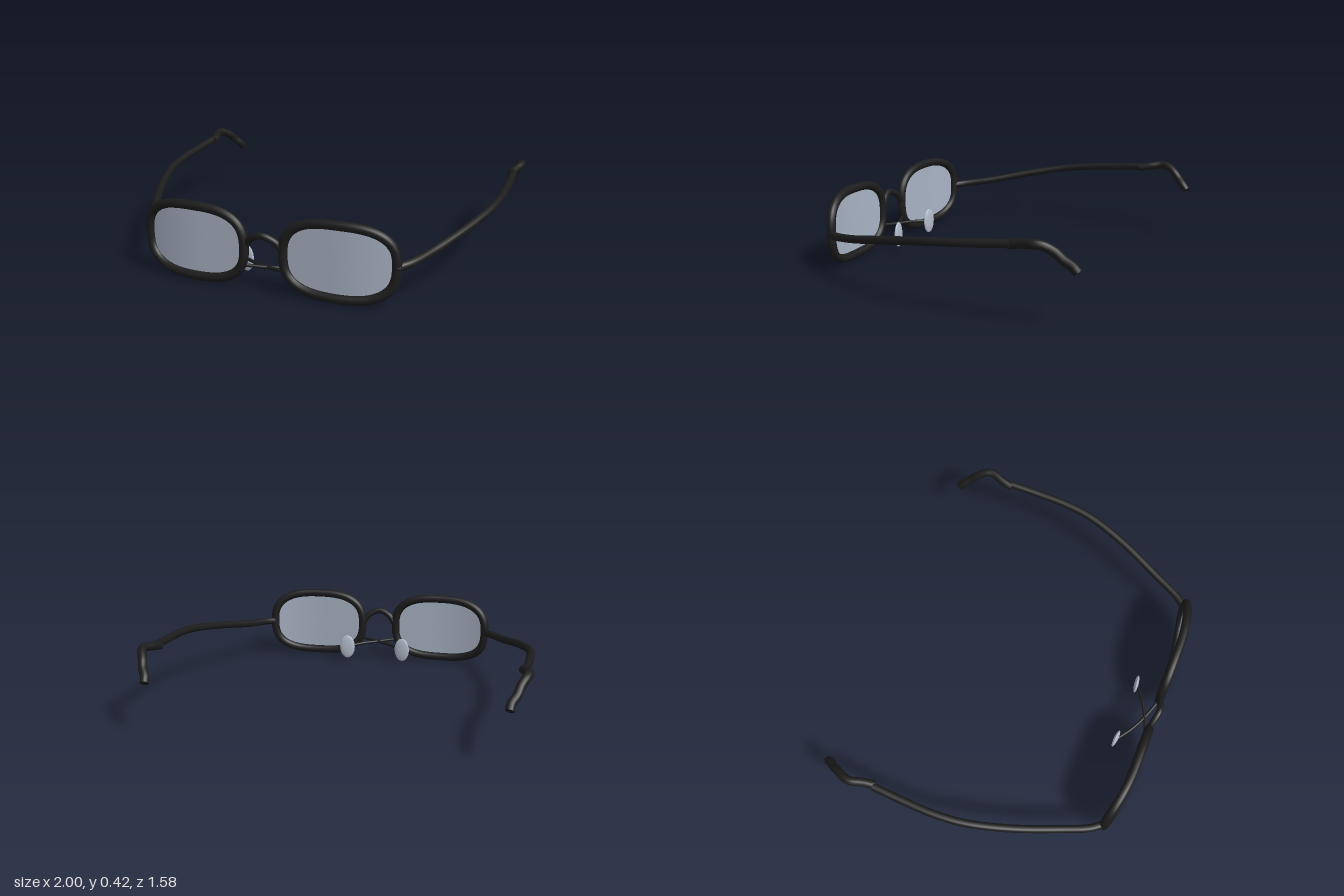
import * as THREE from 'three';
import { mergeGeometries } from 'three/addons/utils/BufferGeometryUtils.js';

const CX = 0.387, CY = 0.22; // lens centre
const RX = 0.281, RY = 0.186; // half size of the rim centreline

// The front is flat near the nose and wraps back towards the hinges
const frontZ = (x) => 0.75 - 0.05 * Math.pow(Math.max(0, Math.abs(x) - 0.35) / 0.32, 2);

// Rounded-oblong outline (superellipse), k scales it from the centre
function outline(angle, side, k = 1) {
  const c = Math.cos(angle), s = Math.sin(angle), e = 2 / 2.75;
  const x = side * (CX + k * RX * Math.sign(c) * Math.pow(Math.abs(c), e));
  const y = CY + k * RY * Math.sign(s) * Math.pow(Math.abs(s), e);
  return new THREE.Vector3(x, y, frontZ(x));
}

// Tube through points, closed with flat discs at both ends
function rod(points, radius, segments = 48) {
  const curve = new THREE.CatmullRomCurve3(points);
  const parts = [new THREE.TubeGeometry(curve, segments, radius, 14)];
  for (const end of [0, 1]) {
    const dir = curve.getTangent(end).multiplyScalar(end ? 1 : -1);
    const cap = new THREE.CircleGeometry(radius, 14);
    cap.applyQuaternion(new THREE.Quaternion().setFromUnitVectors(new THREE.Vector3(0, 0, 1), dir));
    const p = curve.getPoint(end);
    cap.translate(p.x, p.y, p.z);
    parts.push(cap);
  }
  return mergeGeometries(parts);
}

// Curved lens sheet, bent to the same wrap as the rim
function lensGeometry(side) {
  const rings = 6, n = 64;
  const geo = new THREE.RingGeometry(0.001, 1, n, rings);
  const pos = geo.attributes.position;
  for (let i = 0; i < pos.count; i++) {
    const p = outline(((i % (n + 1)) / n) * Math.PI * 2, side, Math.hypot(pos.getX(i), pos.getY(i)));
    pos.setXYZ(i, p.x, p.y, p.z);
  }
  if (side < 0) { // keep the faces turned to the front
    const idx = geo.index;
    for (let i = 0; i < idx.count; i += 3) {
      const a = idx.getX(i);
      idx.setX(i, idx.getX(i + 1));
      idx.setX(i + 1, a);
    }
  }
  geo.computeVertexNormals();
  return geo;
}

export function createModel() {
  const black = new THREE.MeshStandardMaterial({ color: 0x1c1c1c });
  black.name = 'black frame';
  const glass = new THREE.MeshStandardMaterial({ color: 0xa9b3c4, side: THREE.DoubleSide });
  glass.name = 'grey blue glass';
  const silver = new THREE.MeshStandardMaterial({ color: 0xb2bccb });
  silver.name = 'pale silver';

  const model = new THREE.Group();
  model.name = 'spectacles';
  const add = (name, geometry, material) => {
    const mesh = new THREE.Mesh(geometry, material);
    mesh.name = name;
    model.add(mesh);
    return mesh;
  };

  const temple = [
    [0.665, 0.22, 0.702], [0.715, 0.228, 0.64], [0.78, 0.248, 0.5], [0.885, 0.3, 0.25],
    [0.95, 0.34, 0.03], [0.968, 0.36, -0.13], [0.966, 0.375, -0.3], [0.957, 0.392, -0.475],
  ];
  const tip = [
    [0.945, 0.386, -0.468], [0.957, 0.4, -0.53], [0.976, 0.41, -0.595], [0.966, 0.405, -0.64],
    [0.944, 0.378, -0.685], [0.93, 0.343, -0.72], [0.906, 0.31, -0.755], [0.9, 0.283, -0.778],
  ];
  const padArm = [
    [-0.1, 0.13, 0.745], [0, 0.12, 0.708], [0.09, 0.115, 0.663], [0.165, 0.106, 0.61],
  ];

  for (const s of [1, -1]) {
    const label = s > 0 ? 'left' : 'right';
    const mirrored = (list) => list.map(([x, y, z]) => new THREE.Vector3(s * x, y, z));

    // Rim and lens
    const loop = Array.from({ length: 64 }, (_, i) => outline((i / 64) * Math.PI * 2, s));
    const rimCurve = new THREE.CatmullRomCurve3(loop, true);
    add(label + 'Rim', new THREE.TubeGeometry(rimCurve, 128, 0.024, 14, true), black);
    add(label + 'Lens', lensGeometry(s), glass);

    // Side arm with its separate ear tip, and a hinge knuckle
    add(label + 'Temple', rod(mirrored(temple), 0.021, 64), black);
    add(label + 'EarTip', rod(mirrored(tip), 0.023), black);
    const hinge = add(label + 'Hinge', new THREE.SphereGeometry(0.025, 16, 12), black);
    hinge.position.set(s * 0.67, 0.22, 0.7);

    // Nose pad on a thin arm that crosses to the opposite rim
    add(label + 'PadArm', rod(mirrored(padArm), 0.009, 24), black);
    const pad = add(label + 'NosePad', new THREE.SphereGeometry(1, 24, 16), silver);
    pad.scale.set(0.046, 0.072, 0.012);
    pad.position.set(s * 0.172, 0.107, 0.601);
    pad.rotation.y = s * 0.12;
  }

  // Arched bridge, bowed slightly forwards
  const bridge = [
    [-0.1, 0.235, 0.745], [-0.065, 0.279, 0.757], [0, 0.306, 0.769], [0.065, 0.279, 0.757], [0.1, 0.235, 0.745],
  ].map((p) => new THREE.Vector3(...p));
  add('bridge', rod(bridge, 0.018), black);

  return model;
}
